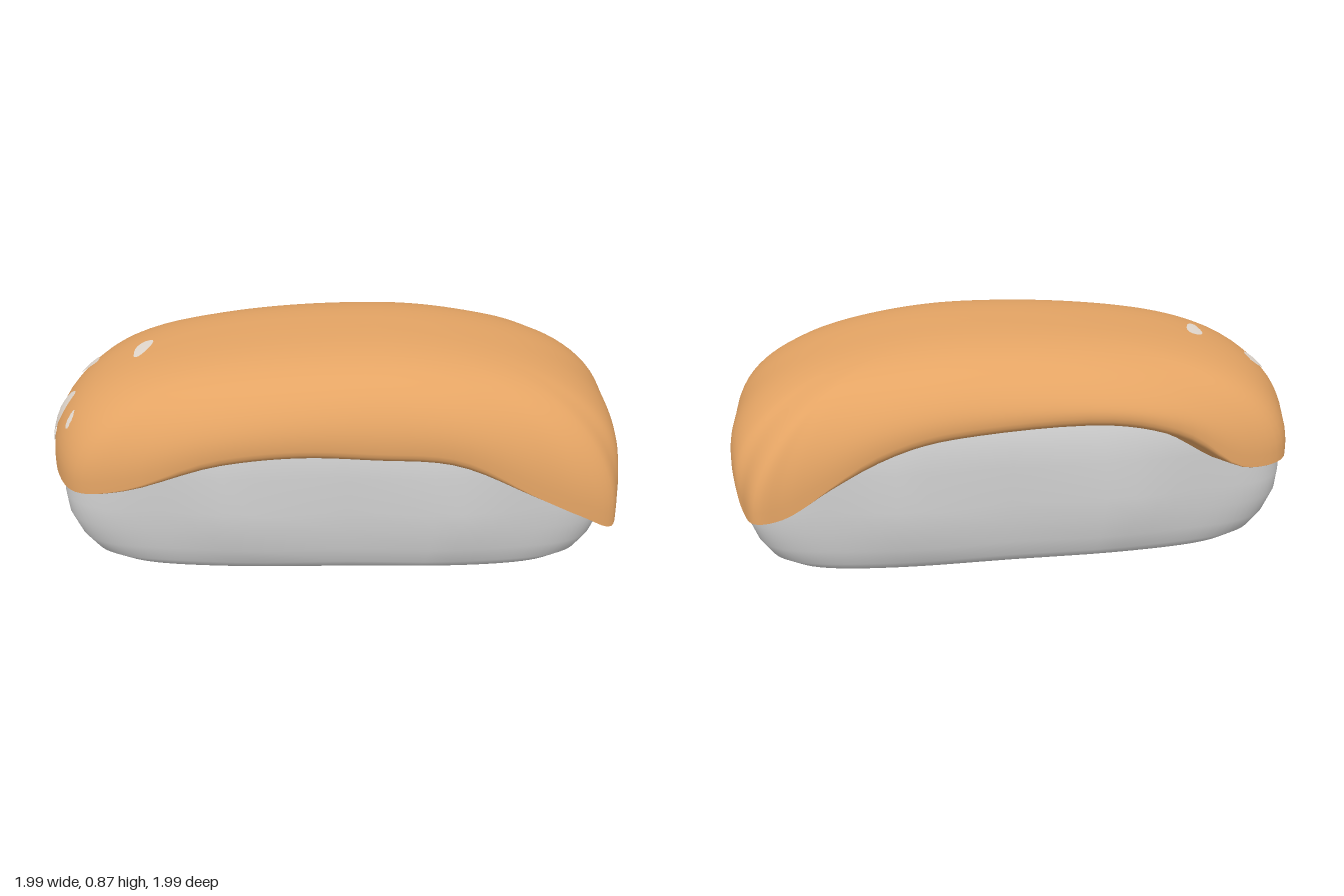
import * as THREE from 'three';

const rice = new THREE.MeshStandardMaterial({ color: 0xcfcfcf });
rice.name = 'riceGrey';
const orange = new THREE.MeshStandardMaterial({ color: 0xe4a464 });
orange.name = 'fishOrange';
const pale = new THREE.MeshStandardMaterial({ color: 0xe4dad0 });
pale.name = 'paleSpot';

// Surface from rows of points; every row is a closed loop of the same length.
function loft(rows) {
  const n = rows[0].length, pos = [], idx = [];
  rows.forEach(r => r.forEach(p => pos.push(p.x, p.y, p.z)));
  for (let i = 0; i < rows.length - 1; i++) {
    for (let j = 0; j < n; j++) {
      const a = i * n + j, b = i * n + (j + 1) % n;
      idx.push(a, b, a + n, b, b + n, a + n);
    }
  }
  const g = new THREE.BufferGeometry();
  g.setAttribute('position', new THREE.Float32BufferAttribute(pos, 3));
  g.setIndex(idx);
  g.computeVertexNormals();
  return g;
}

function part(name, geometry, material) {
  const m = new THREE.Mesh(geometry, material);
  m.name = name;
  return m;
}

// Hem of the fish slice: length, height, width
const hem = new THREE.CatmullRomCurve3([
  [1.01, .46, 0], [1.01, .45, .15], [1.0, .42, .29], [.99, .3, .375], [.965, .255, .44],
  [.84, .32, .475], [.65, .41, .475], [.37, .52, .475], [.1, .54, .475], [-.17, .55, .475],
  [-.45, .52, .475], [-.8, .42, .46], [-.99, .39, .41], [-1.09, .39, .25], [-1.13, .39, 0],
  [-1.09, .4, -.21], [-1.02, .4, -.39], [-.85, .41, -.45], [-.59, .55, -.47], [-.35, .61, -.475],
  [.12, .6, -.475], [.36, .56, -.475], [.65, .43, -.475], [.82, .335, -.485], [.92, .325, -.485],
  [.965, .335, -.4], [.99, .42, -.34], [1.01, .46, -.2],
].map(p => new THREE.Vector3(...p)), true, 'centripetal');

const CX = 0.1, CREST = 0.87;

// How strongly the hem curls under: full along the sides, none at low corners
const curl = p => THREE.MathUtils.smoothstep(p.y, 0.38, 0.52)
  * THREE.MathUtils.smoothstep(Math.abs(p.z), 0.42, 0.46);

// Point on the slice between its crest (rho 0) and the hem (rho 1):
// a lengthwise arch with rounded shoulders, falling to the hem near the edge
function slicePoint(rim, rho, crest) {
  const x = CX + (rim.x - CX) * rho, z = rim.z * rho;
  const front = x > CX;
  const along = Math.abs(x - CX) / (front ? 0.91 : 1.23);
  const top = crest - (front ? 0.2 : 0.17) * along ** 2 - 0.12 * Math.abs(z / 0.475) ** 3;
  const edge = Math.pow(Math.max(0, 1 - rho ** 8), 1 / 2.4);
  const low = rim.y + 0.04 * curl(rim);
  return new THREE.Vector3(x, low + (top - low) * edge, z);
}

function sliceGeometry() {
  const rims = hem.getPoints(140).slice(0, 140);
  const rows = [], N = 26;
  const rho = i => Math.sin(i / N * Math.PI / 2);
  for (let i = 0; i <= N; i++) rows.push(rims.map(p => slicePoint(p, rho(i), CREST)));
  // rolled lower edge
  for (let i = 1; i <= 4; i++) {
    const a = i / 4 * Math.PI / 2;
    rows.push(rims.map(p => new THREE.Vector3(
      p.x, p.y + 0.04 * curl(p) * (1 - Math.sin(a)), p.z * (1 - 0.075 * curl(p) * (1 - Math.cos(a))))));
  }
  // underside
  const inner = rims.map(p => new THREE.Vector3(
    p.x - 0.06 * THREE.MathUtils.clamp(p.x / 0.9, -1, 1), p.y + 0.005, p.z * 0.88));
  rows.push(rows[rows.length - 1], inner); // repeated row keeps the hem crisp
  for (let i = N; i >= 0; i--) rows.push(inner.map(p => slicePoint(p, rho(i), CREST - 0.06)));
  return loft(rows);
}

// Loaf of rice: superellipse plan, rounded top, tapered base, slightly lumpy
function riceGeometry() {
  const levels = [], E = 3.3;
  for (let i = 0; i <= 14; i++) {
    const s = Math.sin(i / 14 * Math.PI / 2);
    levels.push([s, 0.3 + 0.48 * Math.pow(Math.max(0, 1 - s ** E), 1 / E)]);
  }
  levels.push([0.995, 0.22], [0.965, 0.13], [0.925, 0.065], [0.87, 0.03], [0.77, 0.01], [0.5, 0], [0, 0]);
  const C = 96;
  return loft(levels.map(([s, y]) => {
    const row = [];
    for (let j = 0; j < C; j++) {
      const a = j / C * Math.PI * 2, c = Math.cos(a), d = Math.sin(a);
      const u = Math.sign(c) * Math.pow(Math.abs(c), 0.42) * (c > 0 ? 0.99 : 1.085);
      const w = Math.sign(d) * Math.pow(Math.abs(d), 0.42) * 0.428;
      const lump = 1 + 0.025 * Math.sin(u * 9 - 1.5) * Math.sin(Math.min(y, 0.5) * 6);
      row.push(new THREE.Vector3(u * s, y, w * s * lump));
    }
    return row;
  }));
}

// Thin spot that follows the slice surface
const samples = hem.getPoints(800);
function onSlice(u, w) {
  const a = Math.atan2(w, u - CX);
  let best = samples[0], err = 9;
  for (const p of samples) {
    const d = Math.abs(Math.atan2(p.z, p.x - CX) - a);
    if (d < err) { err = d; best = p; }
  }
  const rho = Math.hypot(u - CX, w) / Math.hypot(best.x - CX, best.z);
  const q = slicePoint(best, Math.min(rho, 0.9998), CREST);
  q.x = CX + (q.x - CX) * 1.004;
  q.y += 0.006;
  return q;
}

function spotGeometry(u, w, ru, rw, turn) {
  const rows = [];
  for (let i = 0; i <= 8; i++) {
    const row = [];
    for (let j = 0; j < 20; j++) {
      const a = j / 20 * Math.PI * 2;
      const r = i / 8 * (1 + 0.1 * Math.sin(a * 3 + u * 20));
      const x = Math.cos(a) * ru * r, z = Math.sin(a) * rw * r;
      row.push(onSlice(u + x * Math.cos(turn) - z * Math.sin(turn), w + x * Math.sin(turn) + z * Math.cos(turn)));
    }
    rows.push(row);
  }
  return loft(rows);
}

export function createModel() {
  const group = new THREE.Group();
  group.name = 'fishOnRice';
  const body = new THREE.Group();
  body.name = 'body';
  body.rotation.y = -Math.PI / 4; // lies diagonally
  group.add(body);

  body.add(part('riceLoaf', riceGeometry(), rice));
  body.add(part('fishSlice', sliceGeometry(), orange));

  // Pale spots near the back end: length, width, radii, turn
  const spots = [
    [-0.99, -0.07, 0.036, 0.038, 0],
    [-0.77, 0.014, 0.03, 0.068, 0.2],
    [-1.075, 0.13, 0.06, 0.05, 0.4],
    [-1.01, 0.265, 0.014, 0.026, 0.4],
  ];
  spots.forEach((s, i) => body.add(part('paleSpot' + (i + 1), spotGeometry(...s), pale)));
  return group;
}
